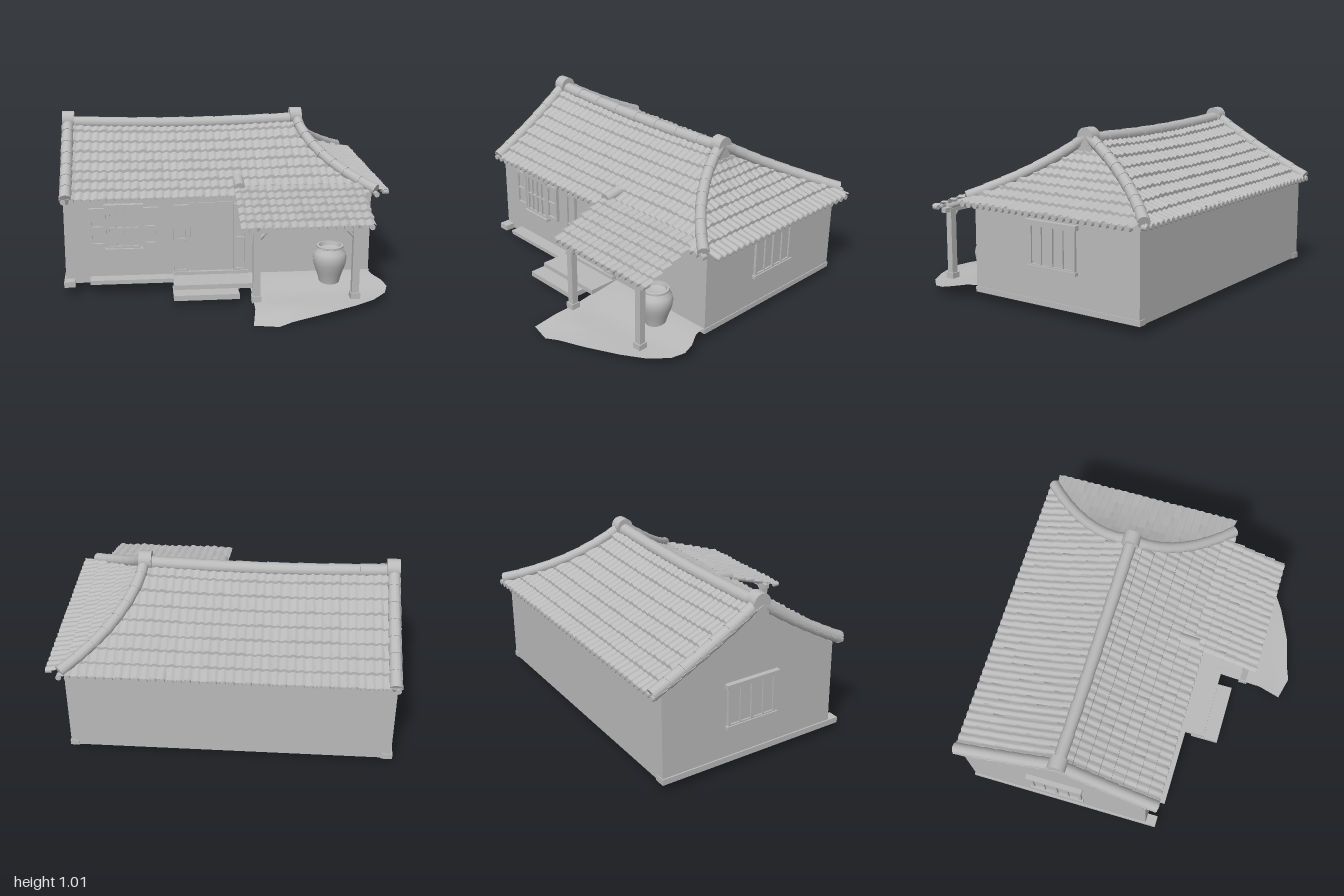
import * as THREE from 'three';
import { mergeGeometries, toCreasedNormals } from 'three/addons/utils/BufferGeometryUtils.js';

export function createModel() {
  const clay = new THREE.MeshStandardMaterial({ color: 0xbababa, side: THREE.DoubleSide });
  clay.name = 'plain grey clay';
  const house = new THREE.Group();
  house.name = 'house';

  const add = (name, geo, parent = house) => {
    const m = new THREE.Mesh(geo, clay);
    m.name = name;
    parent.add(m);
    return m;
  };
  // box given by its lower and upper limits
  const box = (name, x0, x1, y0, y1, z0, z1, parent) =>
    add(name, new THREE.BoxGeometry(x1 - x0, y1 - y0, z1 - z0)
      .translate((x0 + x1) / 2, (y0 + y1) / 2, (z0 + z1) / 2), parent);
  // round bar between two points
  const bar = (a, b, ra, rb, sides = 10) => {
    const d = b.clone().sub(a);
    const q = new THREE.Quaternion().setFromUnitVectors(new THREE.Vector3(0, 1, 0), d.clone().normalize());
    return new THREE.CylinderGeometry(rb, ra, d.length(), sides).applyQuaternion(q)
      .translate(...a.clone().add(b).multiplyScalar(0.5).toArray());
  };
  const V = (x, y, z) => new THREE.Vector3(x, y, z);
  const hash = (i, j) => { const s = Math.sin(i * 12.99 + j * 78.23) * 43758.5; return s - Math.floor(s); };

  // tiled roof sheet: columns along a, courses along t (0 top, 1 eave)
  const PITCH = 0.0475;
  function tiles(name, a0, a1, courses, point, lo, hi, outward) {
    const n = Math.round((a1 - a0) / PITCH), sub = 6, cols = n * sub, p = (a1 - a0) / n;
    const pos = [], idx = [];
    let row = 0;
    for (let c = 0; c < courses; c++) {
      for (const k of [0, 0.5, 1]) {
        const t = (c + k) / courses;
        for (let i = 0; i <= cols; i++) {
          const raw = a0 + (i / sub) * p;
          const a = Math.min(hi(t), Math.max(lo(t), raw));
          const u = (a - a0) / p;
          const v = point(a, t);
          v.y += 0.006 + 0.009 * Math.sin(Math.PI * u) ** 2 + k * (0.012 + 0.008 * hash(Math.floor(u), c));
          pos.push(v.x, v.y, v.z);
          if (row && i < cols) {
            const A = (row - 1) * (cols + 1) + i, B = A + cols + 1;
            idx.push(A, B, A + 1, A + 1, B, B + 1);
          }
        }
        row++;
      }
    }
    const g = new THREE.BufferGeometry();
    g.setAttribute('position', new THREE.Float32BufferAttribute(pos, 3));
    g.setIndex(idx);
    add(name, toCreasedNormals(g, 0.75));
    // round tile ends along the eave
    const ends = [];
    for (let i = 0; i < n; i++) {
      const a = a0 + (i + 0.5) * p;
      if (a < lo(1) || a > hi(1)) continue;
      const e = point(a, 1);
      e.y += 0.009;
      ends.push(bar(e.clone().addScaledVector(outward, -0.03), e.clone().addScaledVector(outward, 0.004), 0.016, 0.017, 8));
    }
    add(name + 'Ends', mergeGeometries(ends));
  }

  // overlapping cap tiles along a path
  function caps(name, path, n, r) {
    const parts = [];
    for (let i = 0; i < n; i++) {
      const a = path(i / n), b = path((i + 1) / n);
      b.addScaledVector(b.clone().sub(a), 0.06);
      parts.push(bar(a, b, r * 0.9, r, 12));
    }
    add(name, mergeGeometries(parts));
  }

  // main roof: gable on the right hand end, hip on the left
  const RIDGE = -0.24;
  const roofY = (t) => 0.95 - 0.36 * t - 0.015 * Math.sin(Math.PI * t);
  const sag = (x) => (x < 0.5 ? 0.022 * Math.sin(Math.PI * (x + 0.95) / 1.45) : 0);
  const hipX = (t) => 0.5 + 0.4 * Math.pow(t, 1.7) + 0.02 * Math.pow(t, 4);
  const frontZ = (t) => RIDGE + 0.585 * t, backZ = (t) => RIDGE - 0.675 * t;
  for (const [name, zAt, dir] of [['frontRoofTiles', frontZ, 1], ['backRoofTiles', backZ, -1]]) {
    tiles(name, -0.988, 0.93, 8, (x, t) => V(x, roofY(t) - sag(x) * (1 - t), zAt(t)),
      () => -0.988, hipX, V(0, 0, dir));
    caps(dir > 0 ? 'frontHipCaps' : 'backHipCaps',
      (s) => V(hipX(s * 0.96) + 0.008 * s, roofY(s * 0.96) + 0.024, zAt(s * 0.96)), 8, 0.035);
    caps(dir > 0 ? 'frontVergeCaps' : 'backVergeCaps',
      (s) => V(-0.95, roofY(s * 0.98) + 0.018, zAt(s * 0.98)), 7, 0.038);
  }
  tiles('hipRoofTiles', -0.92, 0.35, 9, (z, t) => V(hipX(t) + 0.068 * Math.pow(t, 5), roofY(t), z),
    (t) => Math.max(-0.885, backZ(t)), (t) => Math.min(0.325, frontZ(t)), V(1, 0, 0));
  caps('ridgeCaps', (t) => V(-0.95 + 1.45 * t, 0.956 - 0.8 * sag(-0.95 + 1.45 * t), RIDGE), 8, 0.04);
  for (const x of [-0.947, 0.495]) {
    add('ridgeEnd', bar(V(x - 0.037, 0.972, RIDGE), V(x + 0.037, 0.972, RIDGE), 0.054, 0.054, 18));
    box('ridgeEndBase', x - 0.034, x + 0.034, 0.89, 0.97, RIDGE - 0.045, RIDGE + 0.045);
  }

  // walls, gable and foundation
  const FRONT = 0.277;
  box('walls', -0.968, 0.887, 0.07, 0.605, -0.86, FRONT);
  const gable = new THREE.Shape([[-0.86, 0.6], [FRONT, 0.6], [RIDGE, 0.93]].map((p) => new THREE.Vector2(...p)));
  add('gable', new THREE.ExtrudeGeometry(gable, { depth: 0.05, bevelEnabled: false })
    .rotateY(-Math.PI / 2).translate(-0.918, 0, 0));
  box('sideSill', -0.977, -0.91, 0.065, 0.1, -0.865, 0.34);
  box('rightSill', 0.84, 0.892, 0.068, 0.1, -0.865, FRONT + 0.004);
  box('frontPlinth', -0.82, -0.31, 0.085, 0.11, FRONT - 0.01, 0.36);
  box('upperStep', -0.325, 0.14, 0.08, 0.11, FRONT - 0.01, 0.48);
  box('lowerStep', -0.33, 0.055, 0.05, 0.082, 0.4, 0.575);

  // framed panel with bars, facing +z from local z = 0
  function panel(name, parent, x0, x1, y0, y1, cols, rows, d = 0.018) {
    const g = new THREE.Group();
    g.name = name;
    parent.add(g);
    const f = 0.018;
    box('backing', x0, x1, y0, y1, -0.01, d * 0.4, g);
    for (let i = 0; i <= cols; i++) {
      const x = x0 + f / 2 + (x1 - x0 - f) * i / cols, h = i % cols ? f / 4 : f / 2;
      box('upright', x - h, x + h, y0, y1, -0.005, d, g);
    }
    for (let j = 0; j <= rows; j++) {
      const y = y0 + f / 2 + (y1 - y0 - f) * j / rows, h = j % rows ? f / 4 : f / 2;
      box('rail', x0, x1, y - h, y + h, -0.005, d, g);
    }
  }
  const front = new THREE.Group();
  front.name = 'frontOpenings';
  front.position.z = FRONT;
  house.add(front);
  panel('leftShutter', front, -0.507, -0.405, 0.305, 0.54, 1, 2, 0.022);
  panel('rightShutter', front, -0.82, -0.718, 0.305, 0.54, 1, 2, 0.022);
  panel('frontWindow', front, -0.715, -0.51, 0.285, 0.545, 4, 2, 0.02);
  box('windowLintel', -0.73, -0.495, 0.542, 0.565, 0, 0.035, front);
  box('windowSill', -0.725, -0.5, 0.272, 0.29, 0, 0.035, front);
  panel('doorSidePanel', front, -0.315, -0.225, 0.125, 0.55, 1, 2, 0.022);
  panel('doorSidePanel', front, 0.045, 0.13, 0.125, 0.55, 1, 2, 0.022);
  box('door', -0.215, 0.035, 0.125, 0.56, -0.01, 0.009, front);
  box('threshold', -0.32, 0.135, 0.11, 0.13, 0, 0.03, front);

  // matching windows on both end walls
  for (const s of [-1, 1]) {
    const w = new THREE.Group();
    w.name = s > 0 ? 'leftWindow' : 'rightWindow';
    w.position.set(s > 0 ? 0.887 : -0.968, 0, -0.29);
    w.rotation.y = s * Math.PI / 2;
    house.add(w);
    panel('sash', w, -0.16, 0.16, 0.285, 0.535, 4, 1, 0.016);
    box('centrePost', -0.009, 0.009, 0.29, 0.53, 0, 0.018, w);
    box('lintel', -0.175, 0.175, 0.525, 0.552, 0, 0.03, w);
    box('sill', -0.17, 0.17, 0.275, 0.295, 0, 0.024, w);
  }

  // porch roof and timber frame
  const porchY = (t) => 0.645 - 0.147 * t, porchZ = (t) => 0.28 + 0.413 * t;
  tiles('porchTiles', 0.05, 0.825, 6, (x, t) => V(x, porchY(t), porchZ(t)),
    () => 0.05, () => 0.825, V(0, 0, 1));
  add('porchVergeCap', bar(V(0.082, 0.672, 0.18), V(0.082, 0.65, 0.31), 0.034, 0.034, 12));
  box('porchBeam', 0.1, 0.79, 0.475, 0.503, 0.615, 0.648);
  for (const x of [0.145, 0.725]) {
    box('porchPost', x - 0.021, x + 0.021, 0.06, 0.495, 0.612, 0.652);
    box('postFoot', x - 0.028, x + 0.028, 0.055, 0.095, 0.604, 0.66);
    const s = x < 0.4 ? 1 : -1;
    add('postBrace', bar(V(x, 0.42, 0.632), V(x + s * 0.06, 0.482, 0.632), 0.01, 0.01, 6));
    add('porchRafter', bar(V(x, 0.628, 0.28), V(x, 0.5, 0.66), 0.016, 0.016, 4));
  }

  // earth apron in front of the porch
  const { smoothstep } = THREE.MathUtils;
  const edge = [[0.13, 0.28], [0.13, 0.45], [0.13, 0.6], [0.125, 0.75], [0.1, 0.89], [0.24, 0.925], [0.32, 0.895],
    [0.5, 0.85], [0.7, 0.76], [0.83, 0.68], [0.92, 0.58], [0.95, 0.5], [0.935, 0.43], [0.89, 0.35], [0.88, 0.28]];
  const apronY = (x, z) => 0.102 - 0.042 * smoothstep(z, 0.28, 0.62)
    - 0.05 * smoothstep(z, 0.7, 0.93) * (1 - 0.75 * smoothstep(x, 0.15, 0.5));
  const rings = 6, pos = [], idx = [], n = edge.length;
  for (let r = 0; r <= rings; r++) {
    edge.forEach(([ex, ez], i) => {
      const x = 0.5 + (ex - 0.5) * r / rings, z = 0.5 + (ez - 0.5) * r / rings;
      pos.push(x, apronY(x, z), z);
      const A = (r - 1) * n + i, B = (r - 1) * n + (i + 1) % n;
      if (r) idx.push(A, A + n, B, B, A + n, B + n);
    });
  }
  const apron = new THREE.BufferGeometry();
  apron.setAttribute('position', new THREE.Float32BufferAttribute(pos, 3));
  apron.setIndex(idx);
  apron.computeVertexNormals();
  add('earthApron', apron);

  // storage jar
  const jar = [[0, 0.078], [0.06, 0.078], [0.066, 0.105], [0.08, 0.15], [0.096, 0.195], [0.102, 0.235], [0.095, 0.268],
    [0.074, 0.288], [0.071, 0.295], [0.08, 0.299], [0.08, 0.31], [0.066, 0.312], [0.06, 0.29], [0, 0.27]];
  add('storageJar', toCreasedNormals(new THREE.LatheGeometry(jar.map((p) => new THREE.Vector2(...p)), 32), 0.7))
    .position.set(0.617, 0, 0.405);

  return house;
}
